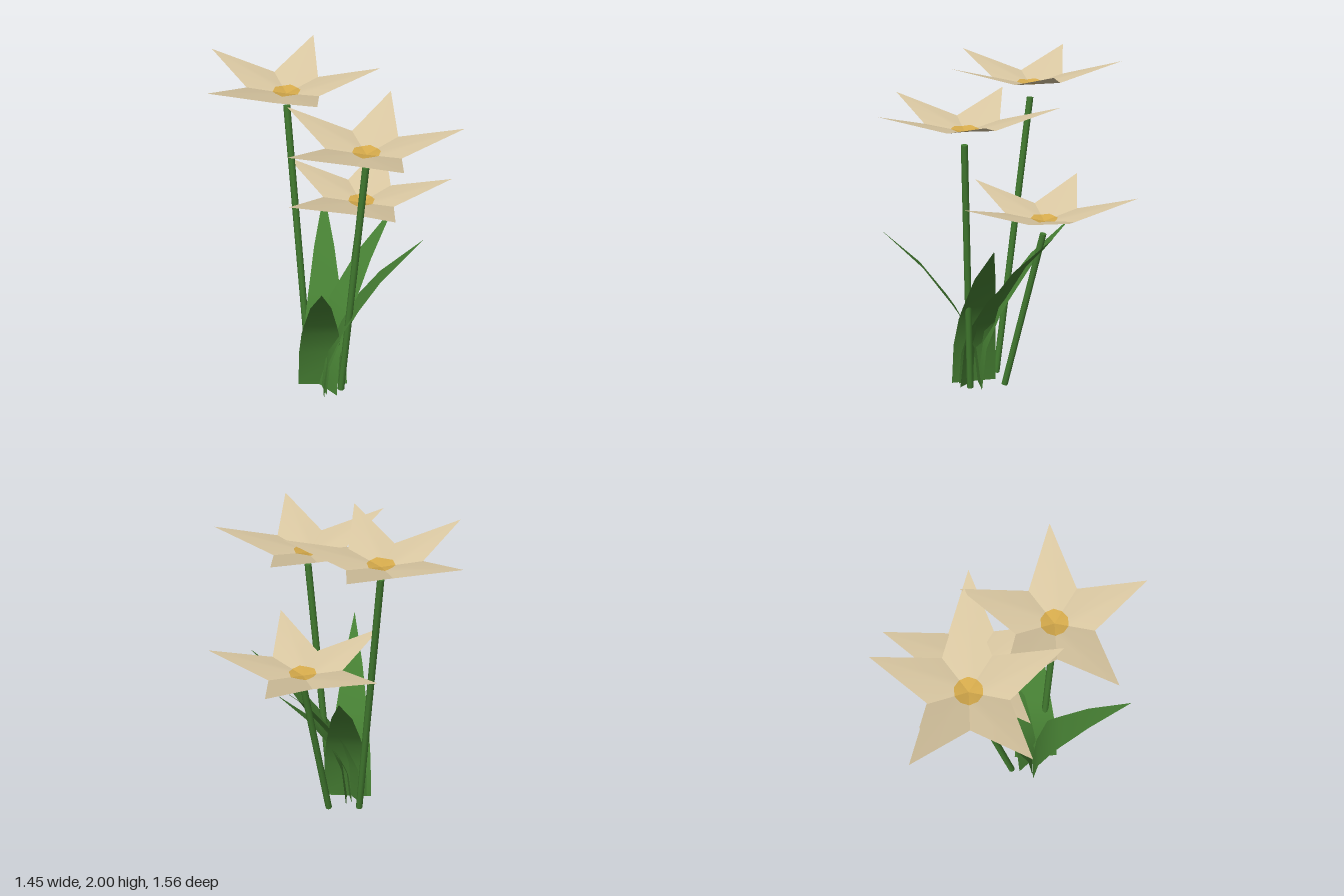
import * as THREE from 'three';

const mat = (name, color, side = THREE.FrontSide) => {
  const m = new THREE.MeshStandardMaterial({ color, side });
  m.name = name;
  return m;
};

function surface(points, index) {
  const g = new THREE.BufferGeometry();
  g.setAttribute('position', new THREE.Float32BufferAttribute(points.flat(), 3));
  g.setIndex(index);
  g.computeVertexNormals();
  return g;
}

function addMesh(parent, name, geometry, material) {
  const mesh = new THREE.Mesh(geometry, material);
  mesh.name = name;
  parent.add(mesh);
  return mesh;
}

// Five pointed, shallow cup; each petal has a yellow inner patch
function makeFlower(petalMat, heartMat) {
  const flower = new THREE.Group();
  const at = (r, deg, y) => {
    const a = THREE.MathUtils.degToRad(deg);
    return [r * Math.cos(a), y, -r * Math.sin(a)];
  };
  const tipR = 0.555, tipY = 0.155, notchR = 0.235, notchY = 0.043, heartR = 0.082;
  for (let i = 0; i < 5; i++) {
    const a = i * 72;
    const right = at(heartR, a - 36, notchY * heartR / notchR);
    const mid = at(heartR, a, tipY * heartR / tipR);
    const left = at(heartR, a + 36, notchY * heartR / notchR);
    addMesh(flower, 'flowerHeart', surface([[0, 0, 0], right, mid, left], [0, 1, 2, 0, 2, 3]), heartMat);
    addMesh(flower, 'petal', surface(
      [right, at(notchR, a - 36, notchY), at(tipR, a, tipY), at(notchR, a + 36, notchY), left, mid],
      [0, 1, 2, 0, 2, 5, 5, 2, 3, 5, 3, 4]), petalMat);
  }
  return flower;
}

// Straight stalk between two points
function makeStem(from, to, radius) {
  const a = new THREE.Vector3(...from), b = new THREE.Vector3(...to);
  const dir = b.clone().sub(a);
  const g = new THREE.CylinderGeometry(radius, radius, dir.length(), 8);
  g.applyQuaternion(new THREE.Quaternion().setFromUnitVectors(new THREE.Vector3(0, 1, 0), dir.normalize()));
  g.translate(...a.add(b).multiplyScalar(0.5).toArray());
  return g;
}

// Flat blade that arches outward along +z: [outward, height, half width]
const bladeRows = [
  [0, 0, 0.14], [0.03, 0.27, 0.133], [0.115, 0.47, 0.116],
  [0.175, 0.565, 0.102], [0.35, 0.81, 0.063],
];
const bladeTip = [0.6, 1.06];

function makeBlade() {
  const points = [], index = [];
  bladeRows.forEach(([out, y, w], i) => {
    points.push([-w, y, out], [w, y, out]);
    const k = i * 2;
    if (i < bladeRows.length - 1) index.push(k, k + 1, k + 3, k, k + 3, k + 2);
    else index.push(k, k + 1, k + 2);
  });
  points.push([0, bladeTip[1], bladeTip[0]]);
  return surface(points, index);
}

export function createModel() {
  const model = new THREE.Group();
  model.name = 'floweringPlant';
  const petalMat = mat('cream petal', 0xdac8a2, THREE.DoubleSide);
  const heartMat = mat('golden heart', 0xd6ab4c, THREE.DoubleSide);
  const stemMat = mat('stem green', 0x417a2f);
  const leafMat = mat('leaf green', 0x467f33, THREE.DoubleSide);

  // Flowers, each floating just above its stem
  const plants = [
    { name: 'tallFlower', head: [-0.28, 1.845, -0.25], top: [-0.28, 1.768, -0.25], foot: [-0.165, 0.01, -0.01] },
    { name: 'middleFlower', head: [0.17, 1.685, 0.25], top: [0.167, 1.605, 0.253], foot: [0.03, 0.01, 0.2] },
    { name: 'lowFlower', head: [0.17, 1.11, -0.23], top: [0.167, 1.03, -0.225], foot: [0.03, 0.01, -0.02] },
  ];
  for (const { name, head, top, foot } of plants) {
    const flower = makeFlower(petalMat, heartMat);
    flower.name = name;
    flower.position.set(...head);
    model.add(flower);
    addMesh(model, name + 'Stem', makeStem(foot, top, 0.021), stemMat);
  }

  // Leaves fan out from one clump: base x, base z, tip x, tip z, size
  const blade = makeBlade();
  const leaves = [
    [-0.1, 0.13, -0.1, 0.73, 0.98],
    [-0.08, 0.155, 0.515, 0.155, 1],
    [-0.07, 0.13, -0.055, -0.47, 1],
    [-0.09, 0.15, 0.38, -0.25, 1.01],
    [-0.09, 0.15, 0.36, 0.03, 0.765],
  ];
  for (const [bx, bz, tx, tz, size] of leaves) {
    const leaf = addMesh(model, 'leaf', blade, leafMat);
    leaf.position.set(bx, 0, bz);
    leaf.rotation.y = Math.atan2(tx - bx, tz - bz);
    leaf.scale.setScalar(size);
  }
  return model;
}
